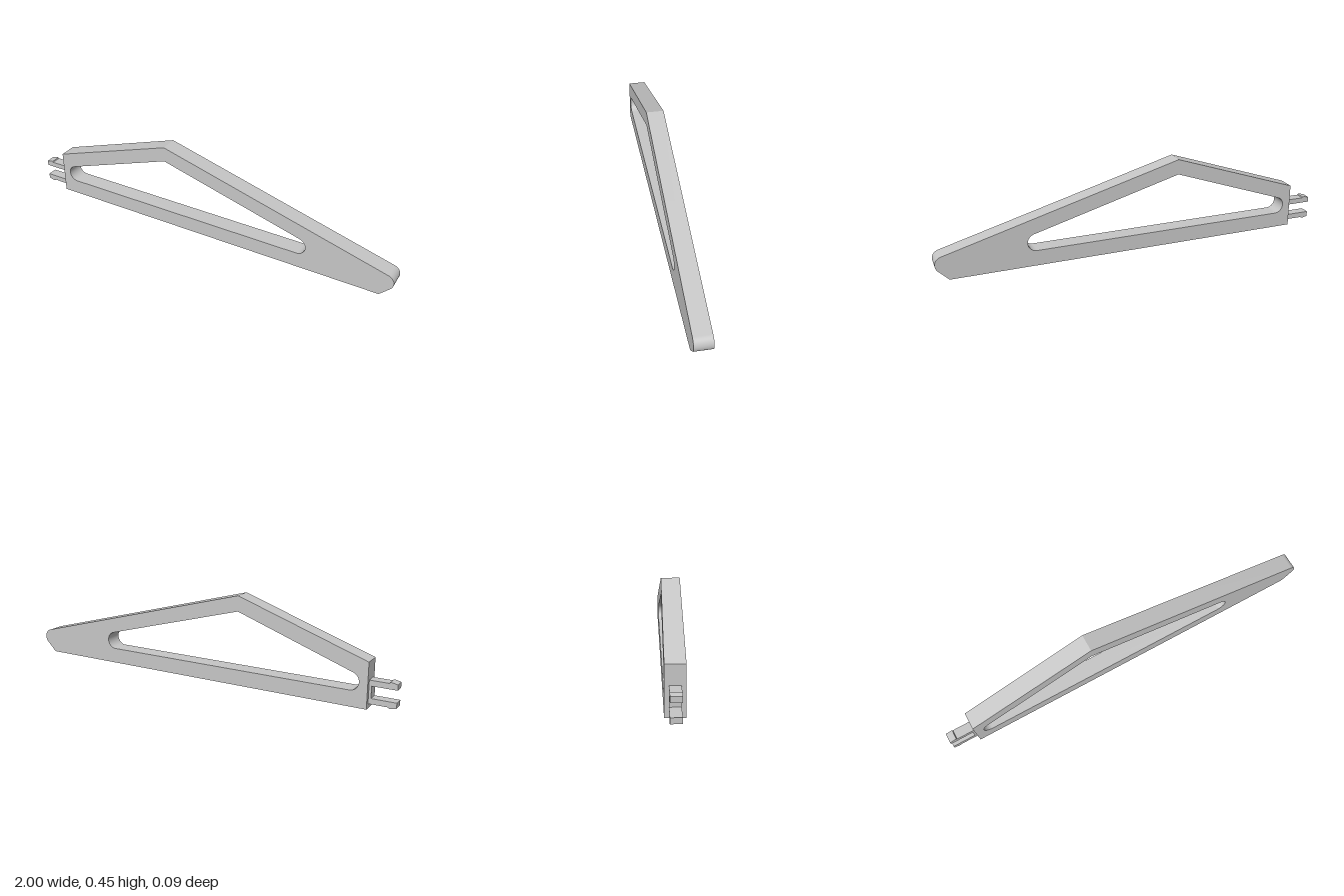
import * as THREE from 'three';
import { toCreasedNormals } from 'three/addons/utils/BufferGeometryUtils.js';

const BODY_DEPTH = 0.088;
const CLIP_DEPTH = 0.05;

// Extrude an outline symmetrically about z = 0, keeping hard edges sharp.
// Normals are creased at a larger scale, as corners closer than 0.01 would merge.
function plate(shape, depth, material, name) {
  let geometry = new THREE.ExtrudeGeometry(shape, { depth, bevelEnabled: false, curveSegments: 16 });
  geometry.translate(0, 0, -depth / 2);
  geometry.scale(100, 100, 100);
  geometry = toCreasedNormals(geometry, Math.PI / 9);
  geometry.scale(0.01, 0.01, 0.01);
  const mesh = new THREE.Mesh(geometry, material);
  mesh.name = name;
  return mesh;
}

export function createModel() {
  const model = new THREE.Group();
  model.name = 'bracketArm';
  const grey = new THREE.MeshStandardMaterial({ color: 0xc6c6c6 });
  grey.name = 'grey';

  // Angles of the normals of the two upper edges
  const leftNormal = THREE.MathUtils.degToRad(109);
  const rightNormal = THREE.MathUtils.degToRad(74.5);

  // Arm outline with a rounded nose
  const arm = new THREE.Shape();
  arm.moveTo(-0.87, 0);
  arm.lineTo(0.931, 0);
  arm.quadraticCurveTo(0.938, 0, 0.943, 0.005);
  arm.absarc(0.958, 0.08, 0.042, -Math.PI / 4, rightNormal, false);
  arm.lineTo(-0.215, 0.447);
  arm.lineTo(-0.87, 0.222);
  arm.closePath();

  // Triangular window with rounded lower corners
  const opening = new THREE.Path();
  opening.absarc(-0.785, 0.122, 0.044, leftNormal, Math.PI * 1.5, false);
  opening.absarc(0.518, 0.122, 0.044, -Math.PI / 2, rightNormal, false);
  opening.lineTo(-0.215, 0.37);
  opening.closePath();
  arm.holes.push(opening);
  model.add(plate(arm, BODY_DEPTH, grey, 'arm'));

  // Clip: a thin root and two barbed prongs, mirrored about its mid height
  const clip = new THREE.Group();
  clip.name = 'clip';
  clip.position.y = 0.078;
  const root = new THREE.Mesh(new THREE.BoxGeometry(0.02, 0.112, CLIP_DEPTH), grey);
  root.name = 'clipRoot';
  root.position.x = -0.872;
  clip.add(root);
  for (const side of [1, -1]) {
    const points = [[-1, 0.029], [-0.865, 0.029], [-0.865, 0.056], [-0.962, 0.056], [-0.965, 0.061], [-0.975, 0.061], [-1, 0.055]];
    const prong = new THREE.Shape(points.map(([x, y]) => new THREE.Vector2(x, y * side)));
    clip.add(plate(prong, CLIP_DEPTH, grey, side > 0 ? 'upperProng' : 'lowerProng'));
  }
  model.add(clip);
  return model;
}
